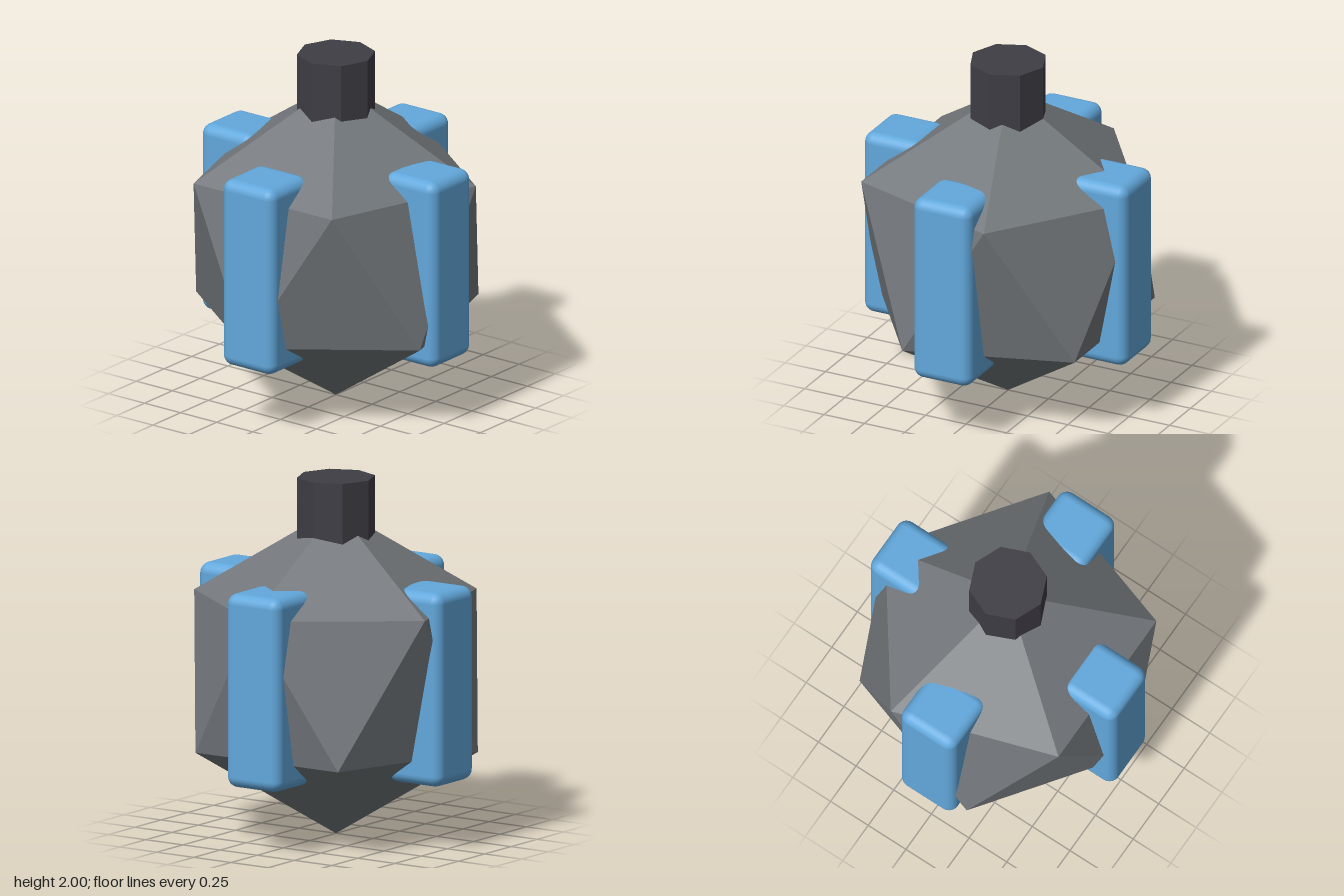
import * as THREE from 'three';
import { RoundedBoxGeometry } from 'three/addons/geometries/RoundedBoxGeometry.js';
import { ConvexGeometry } from 'three/addons/geometries/ConvexGeometry.js';

export function createModel() {
  const group = new THREE.Group();

  const material = (name, color, flatShading = false) => {
    const m = new THREE.MeshStandardMaterial({ color, flatShading });
    m.name = name;
    return m;
  };
  const stone = material('grey shell', 0x73787c, true);
  const dark = material('dark neck', 0x3f3d45, true);
  const blue = material('blue panel', 0x62a8dc);

  const add = (name, geometry, mat) => {
    const mesh = new THREE.Mesh(geometry, mat);
    mesh.name = name;
    group.add(mesh);
    return mesh;
  };

  // Icosahedral body standing on one corner: two apexes and two rings of five
  const R = 0.912;
  const ring = R * 2 / Math.sqrt(5);
  const rise = R / Math.sqrt(5);
  const corners = [new THREE.Vector3(0, 0, 0), new THREE.Vector3(0, 2 * R, 0)];
  for (let i = 0; i < 5; i++) {
    const a = (i * 2 * Math.PI) / 5;
    const x = ring * Math.cos(a);
    const z = ring * Math.sin(a);
    corners.push(new THREE.Vector3(x, R + rise, z));
    corners.push(new THREE.Vector3(-x, R - rise, -z));
  }
  add('body', new ConvexGeometry(corners), stone);

  // Eight-sided neck sunk into the top
  const neck = add('neck', new THREE.CylinderGeometry(0.217, 0.217, 0.4, 8), dark);
  neck.position.y = 1.8;

  // Four rounded upright panels around the body
  const panel = new RoundedBoxGeometry(0.36, 1.085, 0.36, 3, 0.06);
  ['front', 'left', 'back', 'right'].forEach((side, i) => {
    const a = (i * Math.PI) / 2;
    const mesh = add(side + 'Panel', panel, blue);
    mesh.position.set(0.635 * Math.sin(a), 0.9125, 0.635 * Math.cos(a));
    mesh.rotation.y = a;
  });

  return group;
}
